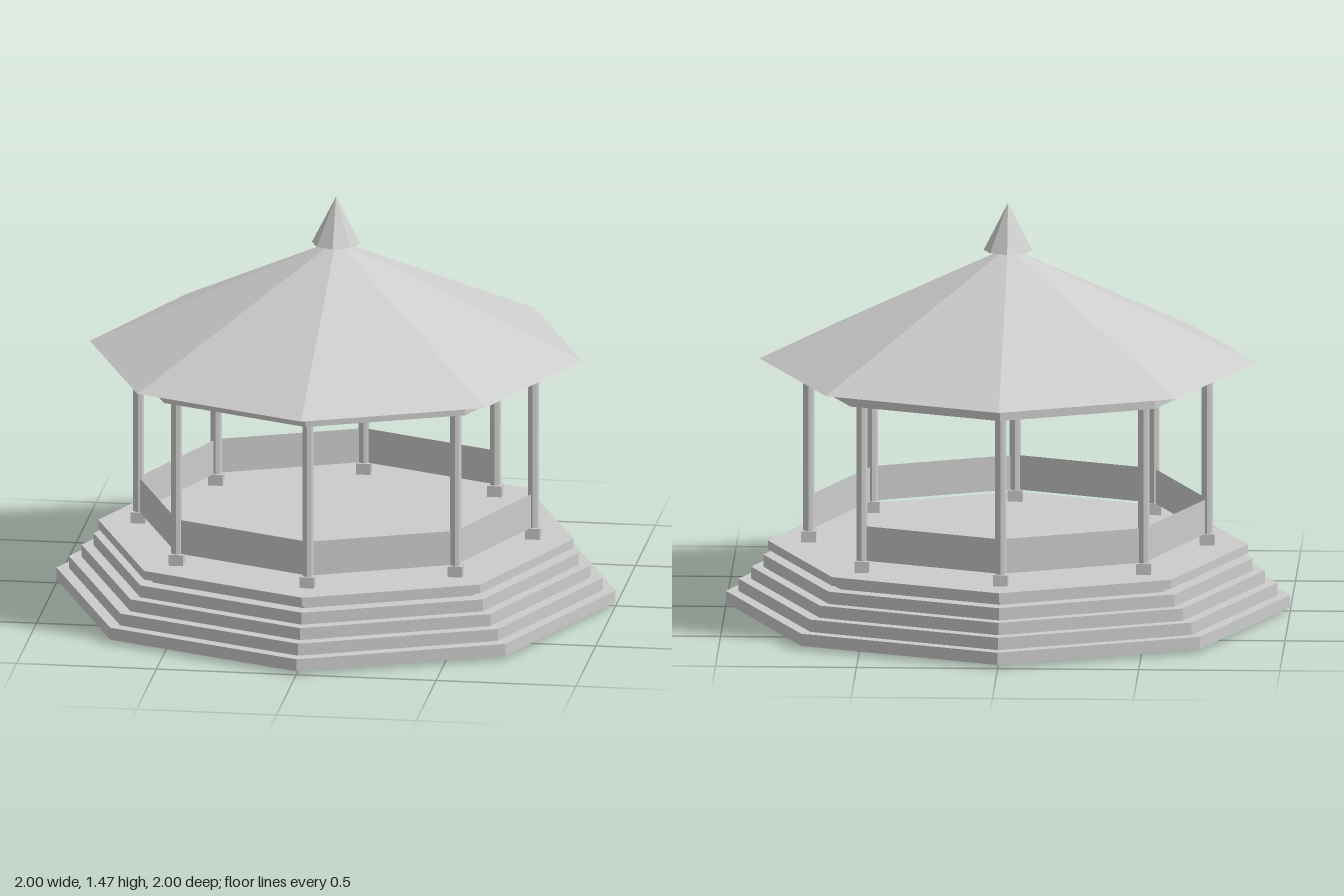
import * as THREE from 'three';

const stone = new THREE.MeshStandardMaterial({ color: 0xcccccc });
stone.name = 'pale grey';
const thinStone = new THREE.MeshStandardMaterial({ color: 0xcccccc, side: THREE.DoubleSide });
thinStone.name = 'pale grey thin';

// Gives every face its own flat normal
function faceted(geometry) {
  const flat = geometry.toNonIndexed();
  flat.computeVertexNormals();
  return flat;
}

// Eight-sided prism, or cone when topRadius is 0, with corners on the axes
function octagon(name, bottomRadius, topRadius, y0, y1) {
  const geometry = new THREE.CylinderGeometry(topRadius, bottomRadius, y1 - y0, 8);
  geometry.translate(0, (y0 + y1) / 2, 0);
  const mesh = new THREE.Mesh(faceted(geometry), stone);
  mesh.name = name;
  return mesh;
}

export function createModel() {
  const model = new THREE.Group();
  model.name = 'gazebo';

  // Platform: recessed core, four steps and the floor slab
  model.add(octagon('platformCore', 0.81, 0.81, 0, 0.225));
  [1, 0.955, 0.91, 0.867].forEach((radius, i) => {
    const y = 0.013 + i * 0.0442;
    model.add(octagon('step' + (i + 1), radius, radius, y, y + 0.0442));
  });
  model.add(octagon('floor', 0.85, 0.85, 0.208, 0.24));

  // Columns on square feet, one at each corner
  const ring = 0.706;
  for (let i = 0; i < 8; i++) {
    const angle = (i * Math.PI) / 4;
    const column = new THREE.Group();
    column.name = 'column' + (i + 1);
    column.position.set(Math.sin(angle) * ring, 0, Math.cos(angle) * ring);
    const foot = new THREE.Mesh(new THREE.BoxGeometry(0.052, 0.04, 0.052), stone);
    foot.name = 'columnFoot';
    foot.position.y = 0.26;
    column.add(foot, octagon('columnShaft', 0.02, 0.02, 0.27, 0.85));
    model.add(column);
  }

  // Thin railing on seven sides, leaving one side open as the entrance
  const railGeometry = new THREE.CylinderGeometry(
    ring, ring, 0.125, 7, 1, true, Math.PI * 0.75, Math.PI * 1.75);
  railGeometry.translate(0, 0.342, 0);
  const railing = new THREE.Mesh(faceted(railGeometry), thinStone);
  railing.name = 'railing';
  model.add(railing);

  // Ceiling slab, roof and finial
  model.add(octagon('ceiling', 0.762, 0.762, 0.845, 0.902));
  model.add(octagon('roof', 0.88, 0, 0.9, 1.31));
  model.add(octagon('finial', 0.086, 0, 1.3, 1.47));

  return model;
}
